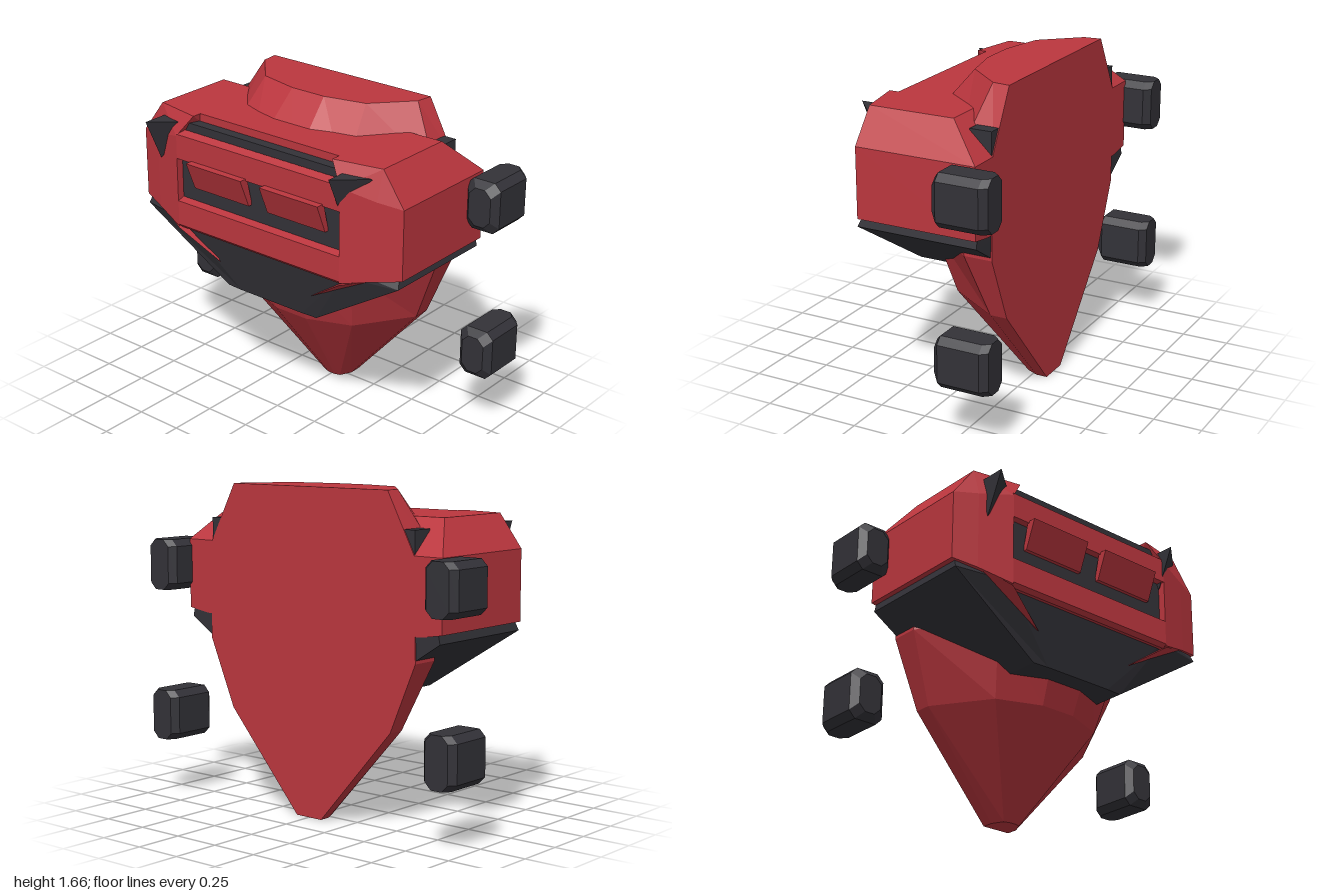
import * as THREE from 'three';
import { ConvexGeometry } from 'three/addons/geometries/ConvexGeometry.js';

const red = new THREE.MeshStandardMaterial({ name: 'red', color: 0xbb363e });
const dark = new THREE.MeshStandardMaterial({ name: 'charcoal', color: 0x333238 });

// Closed flat-shaded skin through equal-length rings, oriented outwards
function loft(rings) {
  const tris = [];
  const n = rings[0].length;
  for (let i = 0; i < rings.length - 1; i++) {
    for (let j = 0; j < n; j++) {
      const k = (j + 1) % n;
      const [a, b, c, d] = [rings[i][j], rings[i][k], rings[i + 1][k], rings[i + 1][j]];
      tris.push([a, b, c], [a, c, d]);
    }
  }
  const first = rings[0], last = rings[rings.length - 1];
  for (let j = 1; j < n - 1; j++) {
    tris.push([first[0], first[j + 1], first[j]], [last[0], last[j], last[j + 1]]);
  }
  let volume = 0;
  const v = tris.map(t => t.map(p => new THREE.Vector3(...p)));
  for (const [a, b, c] of v) volume += a.dot(b.clone().cross(c));
  const pos = [];
  for (const [a, b, c] of v) {
    for (const p of volume < 0 ? [a, c, b] : [a, b, c]) pos.push(p.x, p.y, p.z);
  }
  const g = new THREE.BufferGeometry();
  g.setAttribute('position', new THREE.Float32BufferAttribute(pos, 3));
  g.computeVertexNormals();
  return g;
}

const hull = pts => new ConvexGeometry(pts.map(p => new THREE.Vector3(...p)));

// Horizontal ring from a right-hand half of [x, z] points
const ringAt = (y, half) => [
  ...half.map(([x, z]) => [x, y, z]),
  ...half.slice().reverse().map(([x, z]) => [-x, y, z]),
];

// Bar along x from a [y, z] profile
const bar = (x0, x1, profile) =>
  hull(profile.flatMap(([y, z]) => [[x0, y, z], [x1, y, z]]));

export function createModel() {
  const model = new THREE.Group();
  const add = (name, geometry, material) => {
    const m = new THREE.Mesh(geometry, material);
    m.name = name;
    model.add(m);
    return m;
  };
  const addBox = (name, material, x0, x1, y0, y1, z0, z1) => {
    const g = new THREE.BoxGeometry(x1 - x0, y1 - y0, z1 - z0);
    g.translate((x0 + x1) / 2, (y0 + y1) / 2, (z0 + z1) / 2);
    return add(name, g, material);
  };

  // Shield-shaped body with a flat back and faceted front
  add('shieldBody', loft([
    ringAt(0, [[0.08, -0.33], [0.08, -0.27], [0.05, -0.21], [0.02, -0.2]]),
    ringAt(0.5, [[0.52, -0.33], [0.52, -0.24], [0.33, 0.05], [0.1, 0.14]]),
    ringAt(0.85, [[0.67, -0.33], [0.67, -0.18], [0.4, 0.15], [0.12, 0.27]]),
    ringAt(1.36, [[0.66, -0.33], [0.66, -0.16], [0.38, 0.2], [0.13, 0.29]]),
    ringAt(1.66, [[0.5, -0.33], [0.49, -0.24], [0.32, -0.05], [0.1, 0]]),
  ]), red);

  // Dark tapering abdomen
  add('abdomen', loft([
    ringAt(0.625, [[0.29, -0.32], [0.29, 0.285], [0.2, 0.29]]),
    ringAt(0.955, [[0.81, -0.325], [0.81, 0.32], [0.52, 0.37]]),
    ringAt(1.0, [[0.8, -0.325], [0.8, 0.3], [0.52, 0.37]]),
  ]), dark);

  // Chest centre, back plate and visor backing
  addBox('chestTop', red, -0.47, 0.47, 1.0, 1.53, -0.15, 0.305);
  addBox('backPlate', dark, -0.66, 0.66, 0.98, 1.48, -0.325, -0.21);
  addBox('visorPanel', dark, -0.52, 0.52, 0.92, 1.49, 0, 0.36);

  // Visor bars
  add('upperVisorBar', bar(-0.52, 0.52,
    [[1.3, 0.35], [1.3, 0.4], [1.43, 0.4], [1.45, 0.365], [1.44, 0.35]]), red);
  add('lowerVisorBar', bar(-0.52, 0.52,
    [[0.92, 0.35], [0.92, 0.38], [0.94, 0.4], [1.07, 0.4], [1.085, 0.35]]), red);

  for (const s of [1, -1]) {
    const side = s > 0 ? 'left' : 'right';
    const flip = ring => ring.map(([x, y, z]) => [s * x, y, z]);

    // Bevelled shoulder
    const slice = (x, pts, xTop = x) =>
      flip(pts.map(([y, z]) => [y > 1.5 ? xTop : x, y, z]));
    add(side + 'Shoulder', loft([
      slice(0.52, [[0.98, -0.33], [0.93, 0.4], [1.42, 0.4], [1.53, 0.355], [1.53, -0.15], [1.36, -0.33]], 0.44),
      slice(0.7, [[0.98, -0.33], [0.975, 0.35], [1.38, 0.35], [1.53, 0.305], [1.53, -0.15], [1.36, -0.33]]),
      slice(0.825, [[1, -0.33], [1, 0.31], [1.36, 0.31], [1.36, 0.31], [1.36, -0.33], [1.36, -0.33]]),
    ]), red);

    // Pointed trim running over the abdomen
    add(side + 'WaistTrim', hull(flip([
      [0.52, 0.92, 0.4], [0.7, 0.985, 0.35], [0.3, 0.77, 0.335], [0.5, 0.92, 0.25],
    ])), red);

    // Tilted visor window
    const [x0, x1] = s > 0 ? [0.06, 0.42] : [-0.42, -0.06];
    add(side + 'VisorWindow', bar(x0, x1,
      [[1.16, 0.355], [1.16, 0.38], [1.31, 0.44], [1.31, 0.39]]), red);

    // Spike on the shoulder front, same hand on both sides
    const sx = s > 0 ? 0.51 : -0.66;
    add(side + 'Spike', hull([
      [sx, 1.48, 0.47], [sx, 1.48, 0.3], [sx + 0.15, 1.48, 0.34],
      [sx + 0.15, 1.44, 0.3], [sx, 1.26, 0.37],
    ]), dark);

    // Bevelled pods behind the body
    for (const [level, cy] of [['Upper', 1.23], ['Lower', 0.435]]) {
      const octagon = (z, hx, hy) => {
        const c = 0.035;
        return [[hx, hy - c], [hx - c, hy], [c - hx, hy], [-hx, hy - c],
          [-hx, c - hy], [c - hx, -hy], [hx - c, -hy], [hx, c - hy]]
          .map(([x, y]) => [s * 0.905 + x, cy + y, z]);
      };
      add(side + level + 'Pod', loft([
        octagon(-0.475, 0.065, 0.131),
        octagon(-0.44, 0.095, 0.131),
        octagon(-0.22, 0.095, 0.131),
        octagon(-0.185, 0.062, 0.097),
      ]), dark);
    }
  }
  return model;
}
